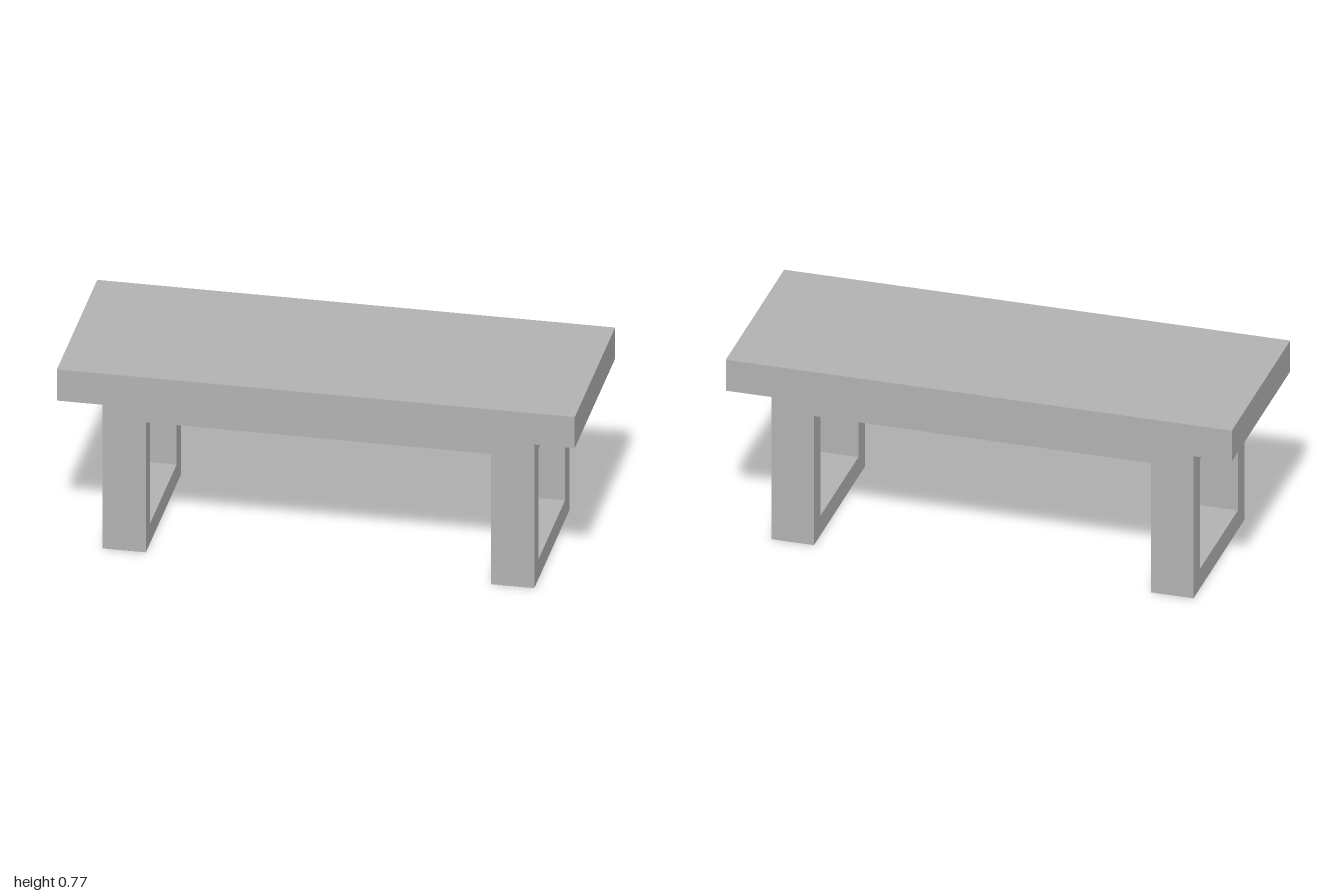
import * as THREE from 'three';

export function createModel() {
  const group = new THREE.Group();
  const grey = new THREE.MeshStandardMaterial({ color: 0xb2b2b2 });
  grey.name = 'grey';

  const add = (name, geometry, x, y, z) => {
    const mesh = new THREE.Mesh(geometry, grey);
    mesh.name = name;
    mesh.position.set(x, y, z);
    group.add(mesh);
  };

  const legHeight = 0.635, topHeight = 0.132;
  const legX = 0.75, legWidth = 0.167;      // centre and width of each leg frame
  const outerZ = 0.333, innerZ = 0.25, bar = 0.083;

  // Thick slab top
  add('tableTop', new THREE.BoxGeometry(2, topHeight, 0.766), 0, legHeight + topHeight / 2, 0);

  // Leg frame outline in the z-y plane, with a rectangular opening
  const frame = new THREE.Shape([
    new THREE.Vector2(-outerZ, 0), new THREE.Vector2(outerZ, 0),
    new THREE.Vector2(outerZ, legHeight), new THREE.Vector2(-outerZ, legHeight),
  ]);
  frame.holes.push(new THREE.Path([
    new THREE.Vector2(-innerZ, bar), new THREE.Vector2(-innerZ, legHeight - bar),
    new THREE.Vector2(innerZ, legHeight - bar), new THREE.Vector2(innerZ, bar),
  ]));
  const frameGeometry = new THREE.ExtrudeGeometry(frame, { depth: legWidth, bevelEnabled: false });
  frameGeometry.translate(0, 0, -legWidth / 2).rotateY(Math.PI / 2);

  // Rails joining the two frames under the top
  const railGeometry = new THREE.BoxGeometry(2 * legX - legWidth, bar, outerZ - innerZ);

  for (const side of [1, -1]) {
    add(side > 0 ? 'leftLegFrame' : 'rightLegFrame', frameGeometry, side * legX, 0, 0);
    add(side > 0 ? 'frontRail' : 'backRail', railGeometry,
      0, legHeight - bar / 2, side * (outerZ + innerZ) / 2);
  }
  return group;
}
